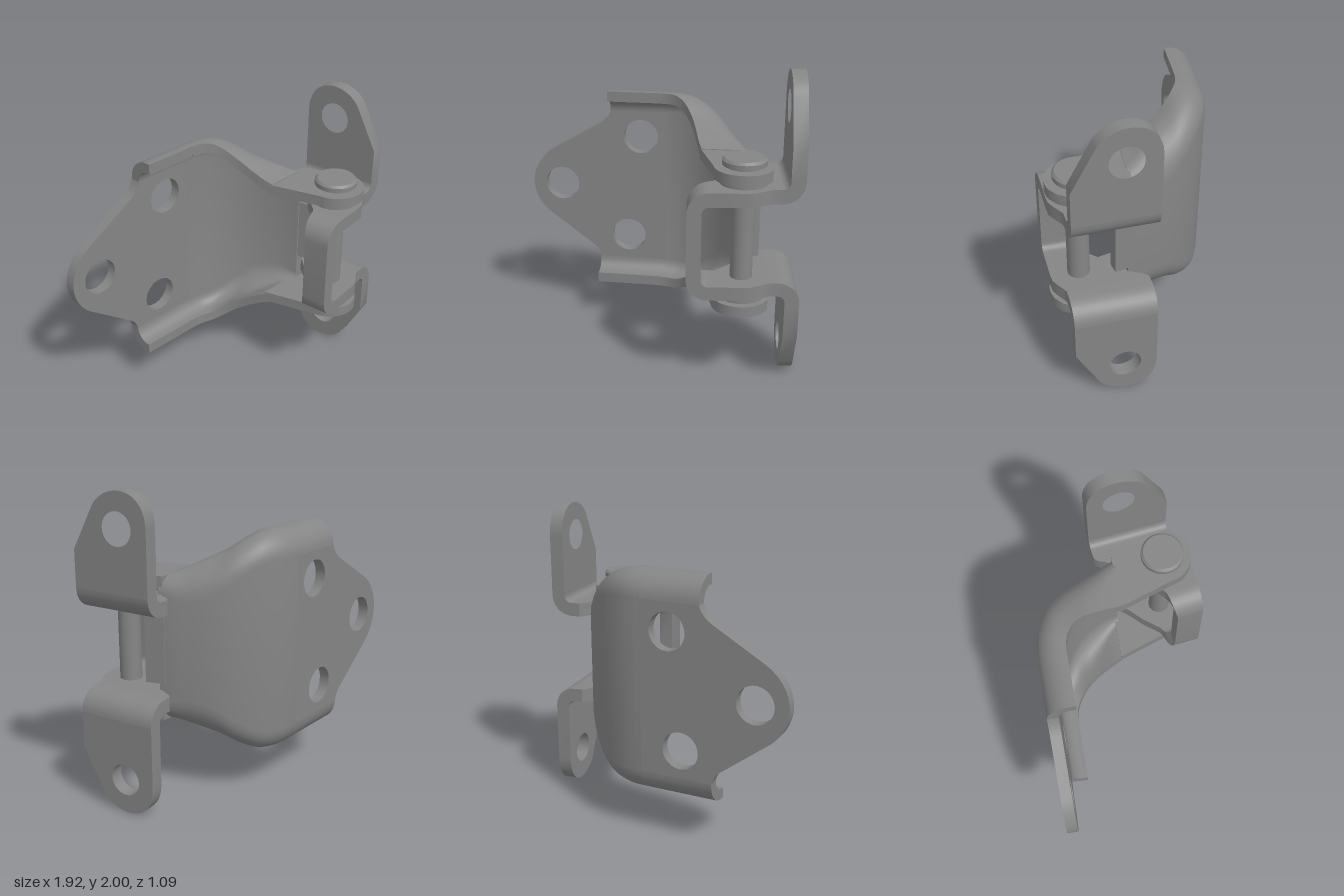
import * as THREE from 'three';
import { toCreasedNormals } from 'three/addons/utils/BufferGeometryUtils.js';

const material = new THREE.MeshStandardMaterial({ color: 0x858585 });
const T = 0.07; // sheet thickness of the curved bracket

function add(parent, name, geometry) {
  const mesh = new THREE.Mesh(toCreasedNormals(geometry, 0.6), material);
  mesh.name = name;
  parent.add(mesh);
  return mesh;
}

// Capped solid through matching loops; contour is the flat outline used for the caps.
function loft(sections, contour) {
  if (THREE.ShapeUtils.area(contour) < 0) {
    contour = [...contour].reverse();
    sections = sections.map((s) => [...s].reverse());
  }
  const n = contour.length, last = sections.length - 1, tris = [];
  for (let i = 0; i < last; i++) {
    for (let j = 0; j < n; j++) {
      const k = (j + 1) % n, a = i * n + j, b = i * n + k;
      tris.push([a, b, b + n], [a, b + n, a + n]);
    }
  }
  for (const [a, b, c] of THREE.ShapeUtils.triangulateShape(contour, [])) {
    tris.push([a, c, b], [a + last * n, b + last * n, c + last * n]);
  }
  const p = sections.flat();
  let volume = 0;
  for (const [a, b, c] of tris) volume += p[a].dot(p[b].clone().cross(p[c]));
  const index = tris.flatMap(([a, b, c]) => (volume < 0 ? [a, c, b] : [a, b, c]));
  const geometry = new THREE.BufferGeometry().setFromPoints(p);
  geometry.setIndex(index);
  return geometry;
}

// Bent flange outline as (depth, height): outer side, then inner side, both from lip to web.
function flangeSides(H, r, D) {
  const outer = [new THREE.Vector2(D, H)], inner = [new THREE.Vector2(D, H - T)];
  for (let i = 0; i <= 8; i++) {
    const a = (i / 8) * Math.PI / 2;
    const s = Math.sin(a), c = Math.cos(a);
    outer.push(new THREE.Vector2(r - r * s, H - r + r * c));
    inner.push(new THREE.Vector2(r - (r - T) * s, H - r + (r - T) * c));
  }
  return [outer, inner];
}
const flip = (pts) => pts.map((q) => new THREE.Vector2(q.x, -q.y)).reverse();

// Places a (depth, height) outline between outer point O and lip point I in plan.
function place(outline, O, I) {
  const dx = I.x - O.x, dz = I.z - O.z, L = Math.hypot(dx, dz);
  return outline.map((q) => new THREE.Vector3(O.x + dx / L * q.x, q.y, O.z + dz / L * q.x));
}

function circleHole(x, y, r) {
  return new THREE.Path().absarc(x, y, r, 0, Math.PI * 2, true);
}

function curvedBracket() {
  const group = new THREE.Group();
  group.name = 'curvedBracket';

  // flat mounting plate with three holes
  const plate = new THREE.Shape();
  plate.moveTo(0, -0.55);
  plate.lineTo(0, 0.55);
  plate.lineTo(-0.39, 0.55);
  plate.quadraticCurveTo(-0.41, 0.49, -0.47, 0.45);
  plate.lineTo(-0.82, 0.245);
  plate.bezierCurveTo(-1.007, 0.12, -1.007, -0.12, -0.82, -0.245);
  plate.lineTo(-0.55, -0.45);
  plate.quadraticCurveTo(-0.49, -0.49, -0.48, -0.55);
  plate.holes.push(circleHole(-0.18, 0.37, 0.12), circleHole(-0.27, -0.37, 0.12), circleHole(-0.75, 0, 0.12));
  const plateGeo = new THREE.ExtrudeGeometry(plate, { depth: T, bevelEnabled: false, curveSegments: 20 });
  add(group, 'mountingPlate', plateGeo.translate(0, 0, -0.55));

  // straight flanges along the plate
  const [o, i] = flangeSides(0.71, 0.16, 0.18);
  const corner = [...o, ...i.reverse()];
  for (const [x, outline, name] of [[-0.39, corner, 'upperFlange'], [-0.48, flip(corner), 'lowerFlange']]) {
    const start = place(outline, { x, z: -0.55 }, { x, z: -0.37 });
    const end = place(outline, { x: 0, z: -0.55 }, { x: -0.03, z: -0.37 });
    add(group, name, loft([start, end], outline));
  }

  // curved channel: outer x, z, lip x, z, half height, bend radius
  const stations = [
    [0, -0.55, -0.03, -0.37, 0.71, 0.16],
    [0.06, -0.547, 0.01, -0.366, 0.71, 0.16],
    [0.15, -0.53, 0.05, -0.355, 0.71, 0.16],
    [0.28, -0.475, 0.10, -0.33, 0.70, 0.17],
    [0.41, -0.38, 0.155, -0.285, 0.665, 0.22],
    [0.51, -0.27, 0.205, -0.215, 0.605, 0.26],
    [0.592, -0.13, 0.245, -0.12, 0.54, 0.23],
    [0.628, -0.05, 0.275, -0.03, 0.49, 0.16],
    [0.65, 0.02, 0.298, 0.03, 0.465, 0.11],
  ];
  const outerPath = new THREE.CatmullRomCurve3(stations.map((s) => new THREE.Vector3(s[0], s[4], s[1])));
  const lipPath = new THREE.CatmullRomCurve3(stations.map((s) => new THREE.Vector3(s[2], s[5], s[3])));
  const sections = [];
  let contour;
  for (let k = 0; k <= 32; k++) {
    const O = outerPath.getPoint(k / 32), I = lipPath.getPoint(k / 32);
    const [out, inn] = flangeSides(O.y, I.y, Math.hypot(I.x - O.x, I.z - O.z));
    const outline = [...out, ...flip(out), ...flip(inn).reverse(), ...inn.reverse()];
    contour ??= outline;
    sections.push(place(outline, O, I));
  }
  add(group, 'curvedChannel', loft(sections, contour));

  // stop tab at the end of the web
  const tab = add(group, 'stopTab', new THREE.BoxGeometry(T, 0.43, 0.13));
  tab.position.set(0.634, 0, 0.05);
  tab.rotation.y = 0.29;

  // pivot ears
  const ear = new THREE.Shape();
  ear.moveTo(0.635, 0);
  ear.lineTo(0.285, 0);
  ear.absarc(0.59, 0.32, 0.185, Math.PI - 0.15, 1.05, true);
  ear.lineTo(0.735, 0.435);
  ear.lineTo(0.765, 0.37);
  for (const [name, top] of [['upperEar', 0.46], ['lowerEar', -0.39]]) {
    const geo = new THREE.ExtrudeGeometry(ear, { depth: T, bevelEnabled: false, curveSegments: 24 });
    add(group, name, geo.rotateX(Math.PI / 2).translate(0, top, 0));
  }
  return group;
}

function forkBracket() {
  const group = new THREE.Group();
  group.name = 'forkBracket';
  const h = 0.045;
  for (const s of [1, -1]) {
    const side = s > 0 ? 'upper' : 'lower';
    // bent strip: path u, y, normal angle, depth range
    const strip = [[-0.3, 0, Math.PI, 0.01, 0.18]];
    for (let k = 0; k <= 8; k++) {
      const a = Math.PI - (k / 8) * Math.PI / 2;
      strip.push([-0.21 + 0.09 * Math.cos(a), 0.215 + 0.09 * Math.sin(a), a, 0.01 - 0.04 * k / 8, 0.18]);
    }
    for (const [u, v0, v1] of [[-0.186, -0.043, 0.18], [-0.08, -0.15, 0.18], [0, -0.21, 0.18],
      [0.05, -0.26, 0.176], [0.1, -0.32, 0.15], [0.14, -0.39, 0.125], [0.165, -0.41, 0.112]]) {
      strip.push([u, 0.305, Math.PI / 2, v0, v1]);
    }
    for (let k = 0; k <= 8; k++) {
      const a = -Math.PI / 2 + (k / 8) * Math.PI / 2;
      strip.push([0.225 + 0.09 * Math.cos(a), 0.395 + 0.09 * Math.sin(a), a + Math.PI, -0.41, 0.11]);
    }
    const sections = strip.map(([u, y, a, v0, v1]) =>
      [[-h, v0], [h, v0], [h, v1], [-h, v1]].map(([t, v]) =>
        new THREE.Vector3(u + t * Math.cos(a), s * (y + t * Math.sin(a)), v)));
    const contour = [[-h, 0], [h, 0], [h, 1], [-h, 1]].map(([x, y]) => new THREE.Vector2(x, y));
    add(group, side + 'ForkArm', loft(sections, contour));

    // upright lug with a bolt hole, drawn as (-depth, height)
    const lug = new THREE.Shape();
    lug.moveTo(-0.11, s * 0.395);
    lug.lineTo(-0.11, s * 0.63);
    lug.lineTo(0.025, s * 0.88);
    lug.bezierCurveTo(0.1, s * 1.043, 0.41, s * 1.06, 0.41, s * 0.79);
    lug.lineTo(0.41, s * 0.395);
    lug.holes.push(circleHole(0.205, s * 0.78, 0.102));
    const geo = new THREE.ExtrudeGeometry(lug, { depth: 2 * h, bevelEnabled: false, curveSegments: 24 });
    add(group, side + 'Lug', geo.rotateY(Math.PI / 2).translate(0.27, 0, 0));
  }
  group.position.set(0.59, 0, 0.32);
  group.rotation.y = 0.12;
  return group;
}

// hinge pin with washers, cap and riveted end
function hingePin() {
  const profile = [[0, -0.51], [0.04, -0.508], [0.13, -0.488], [0.13, -0.48], [0.1, -0.46], [0.1, -0.385],
    [0.15, -0.385], [0.15, -0.365], [0.11, -0.365], [0.11, -0.34], [0.07, -0.34], [0.07, 0.34],
    [0.11, 0.34], [0.11, 0.36], [0.15, 0.36], [0.15, 0.385], [0.11, 0.385], [0.11, 0.475],
    [0.137, 0.475], [0.137, 0.505], [0.122, 0.52], [0, 0.52]];
  return new THREE.LatheGeometry(profile.map(([x, y]) => new THREE.Vector2(x, y)), 40);
}

export function createModel() {
  const model = new THREE.Group();
  model.name = 'hinge';
  const body = new THREE.Group();
  body.name = 'hingeBody';
  body.position.y = 1;
  model.add(body);
  body.add(curvedBracket(), forkBracket());
  add(body, 'hingePin', hingePin()).position.set(0.59, 0, 0.32);
  return model;
}
